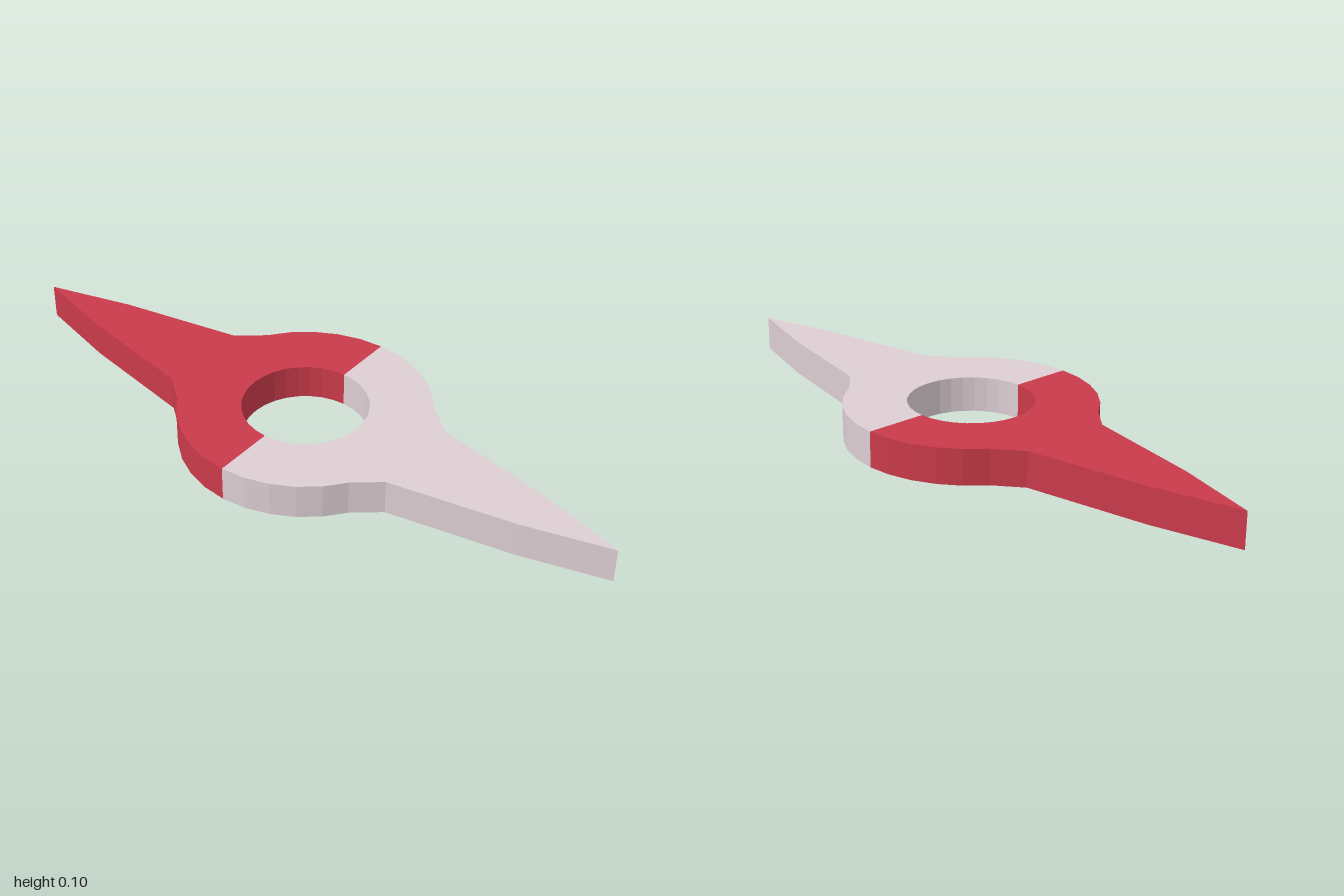
import * as THREE from 'three';

const HEIGHT = 0.105, OUTER = 0.365, INNER = 0.182;
const STEP = Math.PI / 16; // ring facets, 32 to the full circle

// Half of the flat outline: half ring with one tapering point towards +y
function halfShape() {
  const right = [];
  for (let i = 0; i <= 5; i++) {
    right.push([OUTER * Math.cos(i * STEP), OUTER * Math.sin(i * STEP)]);
  }
  right.push([0.14, 0.38], [0.07, 0.745]);
  const left = right.map(([x, y]) => [-x, y]).reverse();
  const hole = [];
  for (let i = 16; i >= 0; i--) {
    hole.push([INNER * Math.cos(i * STEP), INNER * Math.sin(i * STEP)]);
  }
  const outline = [...right, [0, 1], ...left, ...hole];
  return new THREE.Shape(outline.map(([x, y]) => new THREE.Vector2(x, y)));
}

export function createModel() {
  const group = new THREE.Group();
  group.name = 'twoPointedRing';

  // Lay the extrusion flat so that the point faces +z
  const geometry = new THREE.ExtrudeGeometry(halfShape(), { depth: HEIGHT, bevelEnabled: false });
  geometry.rotateX(Math.PI / 2);
  geometry.translate(0, HEIGHT, 0);

  // Pale half in front, red half turned to the back
  const halves = [['paleFrontBlade', 0xdccdd2, 0], ['redBackBlade', 0xc93a4a, Math.PI]];
  for (const [name, color, turn] of halves) {
    const blade = new THREE.Mesh(geometry, new THREE.MeshStandardMaterial({ color, flatShading: true }));
    blade.name = name;
    blade.rotation.y = turn;
    group.add(blade);
  }
  return group;
}
